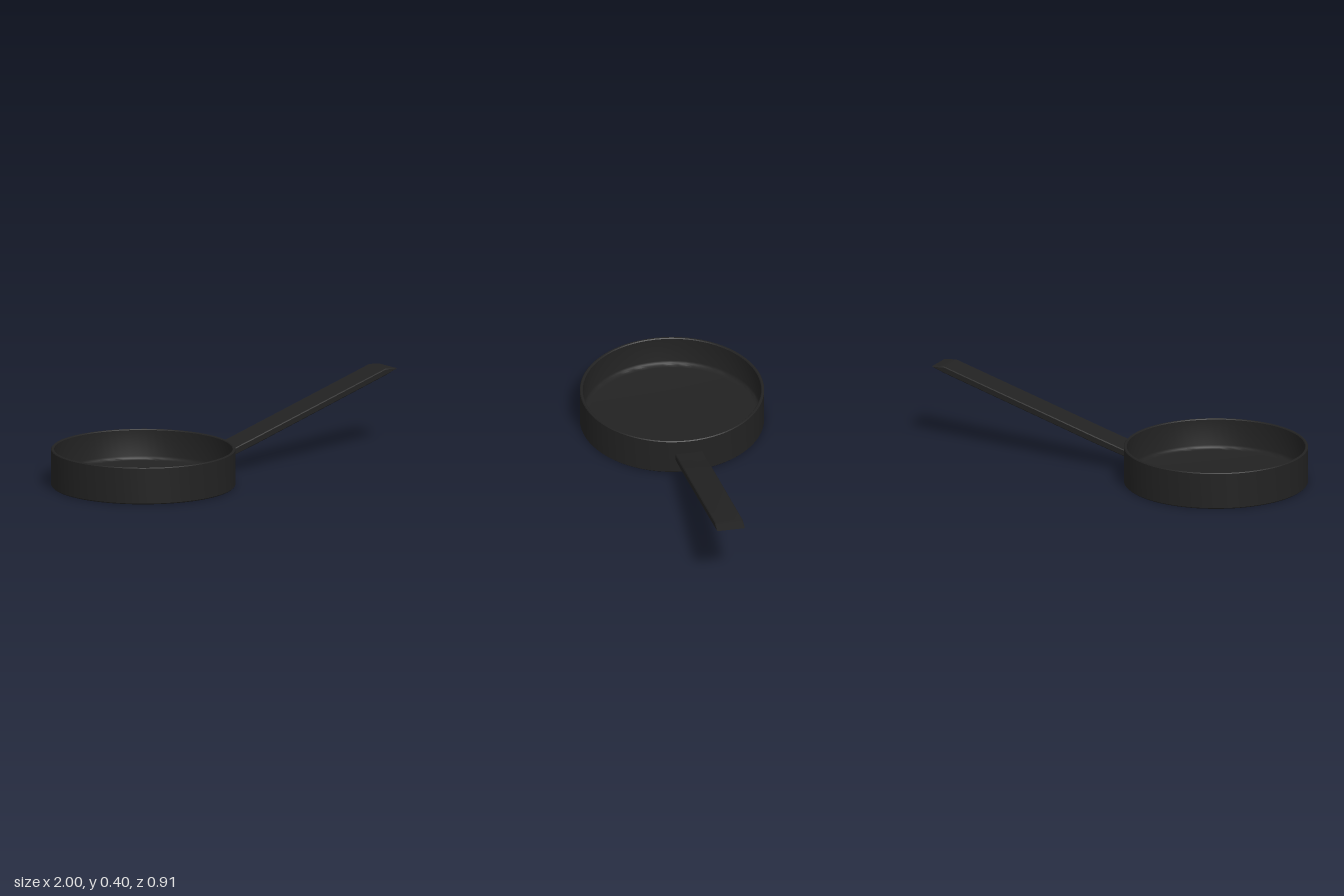
import * as THREE from 'three';
import { toCreasedNormals } from 'three/addons/utils/BufferGeometryUtils.js';

export function createModel() {
  const model = new THREE.Group();
  model.name = 'fryingPan';
  const black = new THREE.MeshStandardMaterial({ color: 0x222222 });
  const add = (name, geometry) => {
    const mesh = new THREE.Mesh(toCreasedNormals(geometry, 0.6), black);
    mesh.name = name;
    model.add(mesh);
    return mesh;
  };

  // Pan: outer wall, rim and hollow inside in one turned profile
  const profile = [
    [0, 0], [0.45, 0], [0.455, 0.005], [0.455, 0.181], [0.451, 0.185],
    [0.444, 0.185], [0.44, 0.181], [0.44, 0.05], [0.436, 0.039],
    [0.427, 0.032], [0.41, 0.03], [0, 0.03],
  ].map(([r, y]) => new THREE.Vector2(r, y));
  add('pan', new THREE.LatheGeometry(profile, 72)).position.x = -0.545;

  // Handle: flat rising bar with a slight bend at the wall and a wedge-shaped tip
  const side = new THREE.Shape([
    [-0.103, 0.075], [-0.06, 0.083], [0, 0.099], [0.1, 0.126], [0.93, 0.368],
    [0.996, 0.392], [0.955, 0.398], [0.925, 0.4], [0.1, 0.162], [0, 0.134],
    [-0.06, 0.117], [-0.103, 0.109],
  ].map(([x, y]) => new THREE.Vector2(x, y)));
  const bevel = 0.004;
  const bar = new THREE.ExtrudeGeometry(side, {
    depth: 0.14 - 2 * bevel, bevelEnabled: true, bevelThickness: bevel,
    bevelSize: bevel, bevelOffset: -bevel, bevelSegments: 1,
  });
  bar.translate(0, 0, -0.07 + bevel);
  add('handle', bar);

  return model;
}
